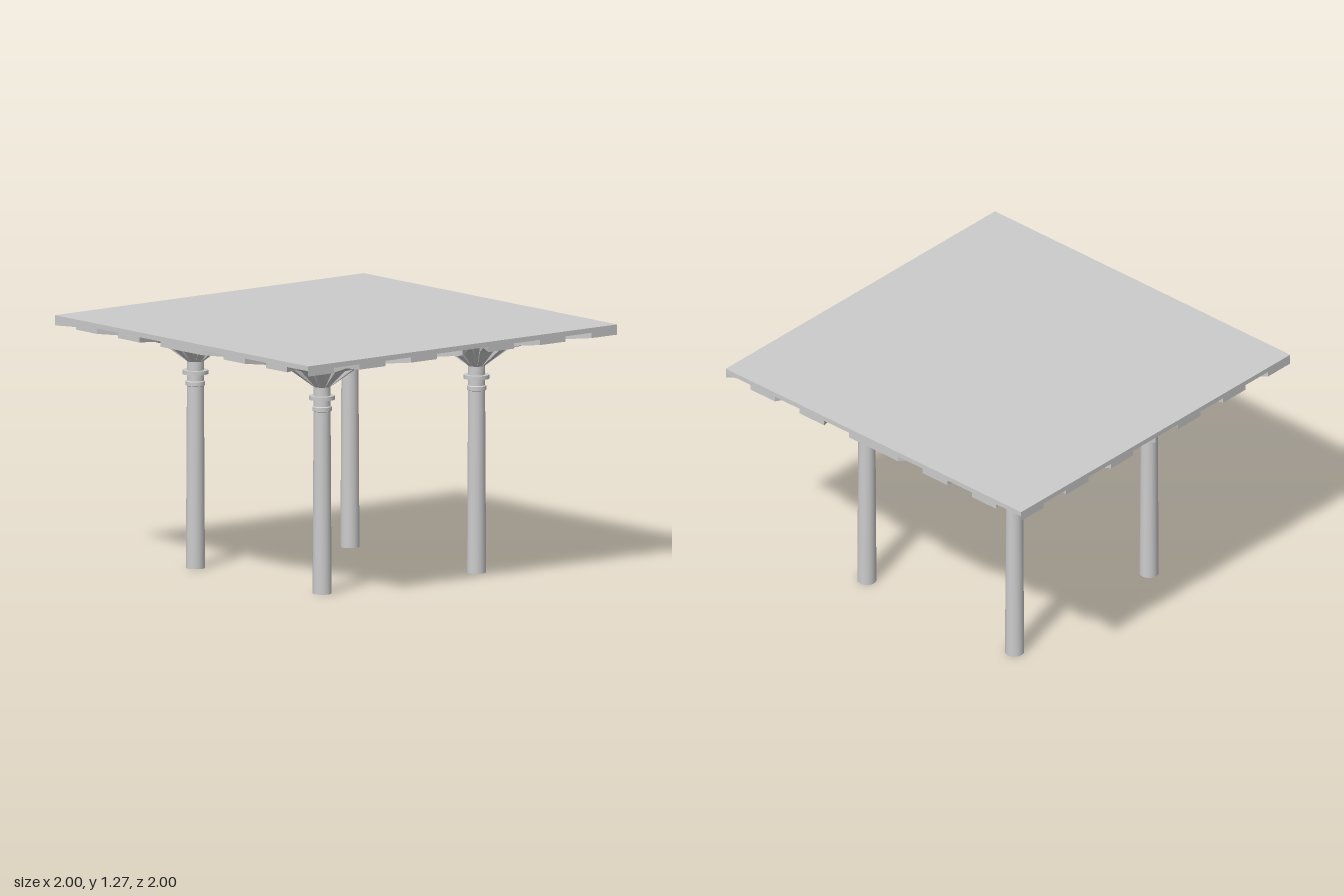
import * as THREE from 'three';
import { toCreasedNormals } from 'three/addons/utils/BufferGeometryUtils.js';

const EDGE = 6;             // vault sectors along each side of a bay
const SLAB_BOTTOM = 1.245;

// Underside profiles as [radius, height]; the last ring lies on the square bay edge.
const LOW = [[0.043, 1.05], [0.18, 1.15], [0.34, 1.195], [null, 1.218]];
const HIGH = [[0.043, 1.05], [0.17, 1.175], [0.34, 1.22], [null, SLAB_BOTTOM]];

// Point k of the square bay outline, starting at the left front corner.
function outline(k) {
  const side = Math.floor(k / EDGE) % 4;
  const t = (k % EDGE) / EDGE - 0.5;
  return [[t, 0.5], [0.5, -t], [-t, -0.5], [-0.5, t]][side];
}

function ringPoint(profile, i, k) {
  const [x, z] = outline(k);
  const [r, y] = profile[i];
  const s = r === null ? 1 : r / Math.hypot(x, z);
  return [x * s, y, z * s];
}

// Fan vault: alternating raised and dropped sectors with step walls between.
function fanVault() {
  const pos = [];
  const quad = (a, b, c, d) => pos.push(...a, ...b, ...c, ...a, ...c, ...d);
  const n = EDGE * 4;
  for (let k = 0; k < n; k++) {
    const low = k % 2 === 0;
    const p = low ? LOW : HIGH;
    for (let i = 0; i < 3; i++) {
      quad(ringPoint(p, i, k), ringPoint(p, i, k + 1), ringPoint(p, i + 1, k + 1), ringPoint(p, i + 1, k));
      // step wall at the start of this sector
      const a = ringPoint(LOW, i, k), b = ringPoint(LOW, i + 1, k);
      const c = ringPoint(HIGH, i + 1, k), d = ringPoint(HIGH, i, k);
      if (low) quad(a, b, c, d);
      else quad(a, d, c, b);
    }
    // outer face of a dropped sector
    if (low) quad(ringPoint(LOW, 3, k), ringPoint(LOW, 3, k + 1), ringPoint(HIGH, 3, k + 1), ringPoint(HIGH, 3, k));
  }
  const g = new THREE.BufferGeometry();
  g.setAttribute('position', new THREE.Float32BufferAttribute(pos, 3));
  g.computeVertexNormals();
  return g;
}

// Tapered shaft with a collar and a thin capital disc.
function columnGeometry() {
  const profile = [
    [0, 0], [0.048, 0], [0.043, 0.925], [0.049, 0.928], [0.049, 0.948], [0.043, 0.952],
    [0.043, 0.985], [0.065, 0.985], [0.065, 1.005], [0.043, 1.005], [0.043, 1.05], [0, 1.05],
  ].map(([r, y]) => new THREE.Vector2(r, y));
  return toCreasedNormals(new THREE.LatheGeometry(profile, 24), 0.5);
}

export function createModel() {
  const model = new THREE.Group();
  model.name = 'vaultedCanopy';
  const material = new THREE.MeshStandardMaterial({ color: 0xcccccc, side: THREE.DoubleSide });
  const add = (parent, name, geometry) => {
    const mesh = new THREE.Mesh(geometry, material);
    mesh.name = name;
    parent.add(mesh);
    return mesh;
  };

  // Flat square roof
  const height = 1.27 - SLAB_BOTTOM;
  add(model, 'roofSlab', new THREE.BoxGeometry(2, height, 2)).position.y = SLAB_BOTTOM + height / 2;

  // Four mirrored bays, each a column carrying a fan vault
  const column = columnGeometry();
  const vault = fanVault();
  for (const sx of [-1, 1]) {
    for (const sz of [-1, 1]) {
      const bay = new THREE.Group();
      bay.name = (sz > 0 ? 'front' : 'back') + (sx > 0 ? 'Left' : 'Right') + 'Bay';
      bay.position.set(sx * 0.5, 0, sz * 0.5);
      bay.scale.set(-sx, 1, sz);
      add(bay, 'column', column);
      add(bay, 'fanVault', vault);
      model.add(bay);
    }
  }
  return model;
}
